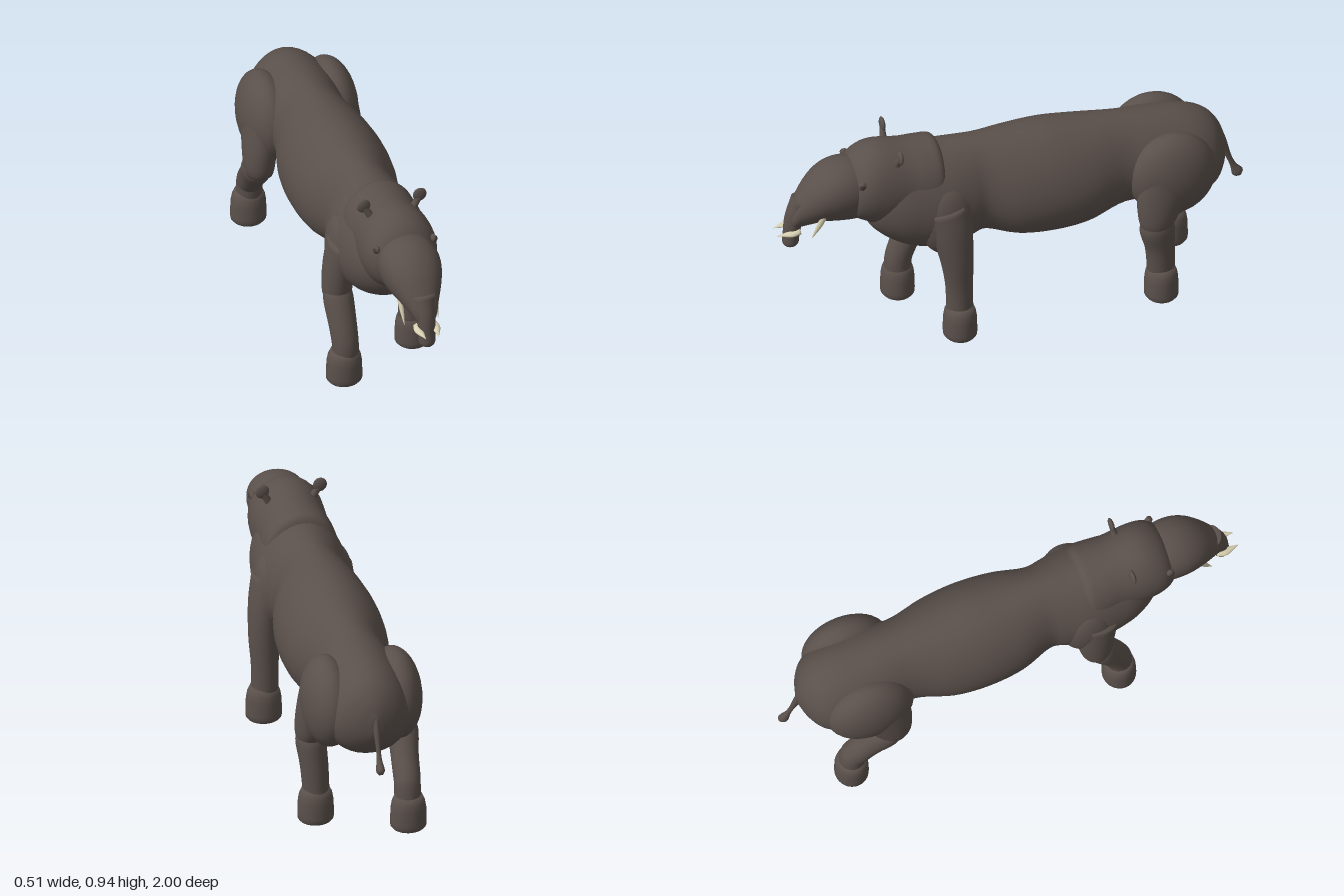
import * as THREE from 'three';

const material = (name, color) => Object.assign(new THREE.MeshStandardMaterial({ color }), { name });

// Skin a smooth run of oval rings. Row: [x, y, z, half width in x, half depth].
// dir fixes the ring direction; without it rings stand across the path. egg > 0 makes the lower half wider.
function loft(rows, { dir = null, egg = 0, steps = 5, sides = 32 } = {}) {
  const spline = new THREE.CubicInterpolant(rows.map((_, i) => i), rows.flat(), 5);
  const count = (rows.length - 1) * steps;
  const rings = [];
  for (let i = 0; i <= count; i++) rings.push(Array.from(spline.evaluate(i / steps)));
  const centre = (i) => new THREE.Vector3(...rings[Math.min(Math.max(i, 0), count)].slice(0, 3));
  const pos = [], index = [];
  const X = new THREE.Vector3(1, 0, 0);
  rings.forEach((r, i) => {
    const t = dir || centre(i + 1).sub(centre(i - 1)).normalize();
    const B = new THREE.Vector3().crossVectors(t, X).normalize();
    for (let j = 0; j < sides; j++) {
      const a = (j / sides) * Math.PI * 2, s = Math.sin(a);
      const p = centre(i).addScaledVector(B, s * Math.max(r[4], 0.001));
      p.x += Math.cos(a) * (1 - egg * s) * Math.max(r[3], 0.001);
      pos.push(p.x, p.y, p.z);
    }
  });
  for (let i = 0; i < count; i++) for (let j = 0; j < sides; j++) {
    const k = (j + 1) % sides, a = i * sides, b = a + sides;
    index.push(a + j, a + k, b + j, a + k, b + k, b + j);
  }
  // end caps
  const first = pos.length / 3, last = count * sides;
  pos.push(...centre(0).toArray(), ...centre(count).toArray());
  for (let j = 0; j < sides; j++) {
    const k = (j + 1) % sides;
    index.push(first, k, j, first + 1, last + j, last + k);
  }
  const g = new THREE.BufferGeometry();
  g.setAttribute('position', new THREE.Float32BufferAttribute(pos, 3));
  g.setIndex(index);
  g.computeVertexNormals();
  return g;
}

// Body sections, back to front. Row: [z, top, bottom, half width].
const bodyLoft = (rows, egg) => loft(
  rows.map(([z, top, low, w]) => [0, (top + low) / 2, z, w, (top - low) / 2]),
  { dir: new THREE.Vector3(0, 0, 1), egg, sides: 40 });

export function createModel() {
  const hide = material('hide', 0x5a504b);
  const ivory = material('ivory', 0xd6cfb0);
  const dark = material('eye', 0x423a37);
  const model = new THREE.Group();
  model.name = 'trunkedGrazer';

  const add = (name, geometry, mat = hide, parent = model) => {
    const m = new THREE.Mesh(geometry, mat);
    m.name = name;
    parent.add(m);
    return m;
  };
  const ball = (name, [x, y, z], [sx, sy, sz], mat = hide) => {
    const m = add(name, new THREE.SphereGeometry(1, 32, 20), mat);
    m.position.set(x, y, z);
    m.scale.set(sx, sy, sz);
    return m;
  };

  // trunk of the body: rump, barrel and chest
  add('torso', bodyLoft([
    [-0.915, 0.62, 0.54, 0.02], [-0.89, 0.69, 0.48, 0.09], [-0.84, 0.75, 0.42, 0.15],
    [-0.75, 0.79, 0.39, 0.18], [-0.6, 0.812, 0.41, 0.18], [-0.46, 0.825, 0.415, 0.165],
    [-0.3, 0.84, 0.37, 0.205], [-0.15, 0.855, 0.36, 0.217], [0, 0.855, 0.373, 0.203],
    [0.13, 0.855, 0.415, 0.165], [0.2, 0.855, 0.4, 0.175], [0.3, 0.857, 0.382, 0.195],
    [0.42, 0.865, 0.4, 0.188], [0.52, 0.85, 0.45, 0.168], [0.6, 0.8, 0.52, 0.12],
    [0.635, 0.72, 0.59, 0.04],
  ], 0.13));

  // head and nape
  add('head', bodyLoft([
    [0.295, 0.82, 0.62, 0.08], [0.32, 0.882, 0.55, 0.145], [0.38, 0.893, 0.52, 0.158],
    [0.46, 0.9, 0.52, 0.152], [0.57, 0.917, 0.535, 0.156], [0.64, 0.897, 0.57, 0.148],
    [0.685, 0.855, 0.6, 0.12], [0.7, 0.8, 0.65, 0.07],
  ], 0));
  add('muzzle', bodyLoft([
    [0.62, 0.835, 0.58, 0.1], [0.68, 0.86, 0.575, 0.12], [0.75, 0.858, 0.583, 0.122],
    [0.81, 0.833, 0.59, 0.108], [0.86, 0.79, 0.582, 0.085], [0.9, 0.735, 0.575, 0.062],
    [0.93, 0.68, 0.57, 0.045], [0.95, 0.63, 0.58, 0.02],
  ], -0.15));
  add('snout', loft([
    [0, 0.7, 0.885, 0.05, 0.05], [0, 0.62, 0.92, 0.04, 0.04], [0, 0.55, 0.932, 0.035, 0.035],
    [0, 0.505, 0.936, 0.034, 0.034], [0, 0.49, 0.936, 0.026, 0.026],
  ]));

  // tail with a thicker tip
  add('tail', loft([
    [0, 0.66, -0.87, 0.02, 0.03], [0, 0.58, -0.905, 0.015, 0.022], [0, 0.5, -0.935, 0.01, 0.012],
    [0, 0.45, -0.955, 0.011, 0.013], [0, 0.41, -0.974, 0.018, 0.024], [0, 0.393, -0.983, 0.008, 0.01],
  ], { sides: 16 }));

  // paired features
  const footProfile = [[0, 0], [0.066, 0], [0.074, 0.01], [0.075, 0.03], [0.073, 0.09], [0.068, 0.12],
    [0.056, 0.148], [0, 0.16]].map(([r, y]) => new THREE.Vector2(r, y));
  const foot = (name, x, z) => {
    const f = add(name, new THREE.LatheGeometry(footProfile, 32));
    f.position.set(x, 0, z);
    f.scale.z = 0.94;
  };
  for (const s of [1, -1]) {
    const side = s > 0 ? 'left' : 'right';
    ball(side + 'Haunch', [s * 0.143, 0.58, -0.65], [0.106, 0.192, 0.185]);
    ball(side + 'Shoulder', [s * 0.135, 0.57, 0.31], [0.075, 0.17, 0.12]);
    ball(side + 'Ear', [s * 0.121, 0.913, 0.505], [0.029, 0.031, 0.011]);
    add(side + 'EarStem', loft([
      [s * 0.085, 0.85, 0.51, 0.02, 0.016], [s * 0.102, 0.878, 0.508, 0.017, 0.013],
      [s * 0.118, 0.905, 0.505, 0.016, 0.01],
    ], { sides: 14 }));
    ball(side + 'Eyelid', [s * 0.122, 0.805, 0.667], [0.013, 0.017, 0.017]);
    ball(side + 'Eye', [s * 0.129, 0.805, 0.671], [0.009, 0.012, 0.012], dark);
    // downward upper tusk and flat forward lower tusk
    add(side + 'UpperTusk', loft([
      [s * 0.077, 0.655, 0.815, 0.009, 0.013], [s * 0.074, 0.61, 0.836, 0.009, 0.012],
      [s * 0.073, 0.553, 0.868, 0.001, 0.001],
    ], { sides: 14 }), ivory);
    add(side + 'LowerTusk', loft([
      [s * 0.03, 0.568, 0.905, 0.019, 0.012], [s * 0.036, 0.565, 0.945, 0.018, 0.011],
      [s * 0.028, 0.563, 1, 0.001, 0.001],
    ], { sides: 14 }), ivory);
  }

  // front legs: left straight, right reaching forward from the elbow
  add('leftFrontLeg', loft([
    [0.15, 0.64, 0.32, 0.06, 0.09], [0.165, 0.52, 0.298, 0.065, 0.085], [0.172, 0.38, 0.28, 0.063, 0.068],
    [0.17, 0.25, 0.27, 0.057, 0.057], [0.17, 0.12, 0.268, 0.055, 0.056],
  ]));
  foot('leftFrontFoot', 0.175, 0.268);
  add('rightUpperArm', loft([
    [-0.15, 0.64, 0.34, 0.06, 0.09], [-0.165, 0.5, 0.325, 0.064, 0.08], [-0.172, 0.39, 0.325, 0.062, 0.066],
    [-0.173, 0.345, 0.335, 0.05, 0.05],
  ]));
  add('rightForearm', loft([
    [-0.173, 0.41, 0.33, 0.05, 0.045], [-0.174, 0.36, 0.345, 0.062, 0.06], [-0.172, 0.26, 0.393, 0.058, 0.058],
    [-0.17, 0.18, 0.42, 0.055, 0.056], [-0.17, 0.11, 0.422, 0.055, 0.056],
  ]));
  foot('rightFrontFoot', -0.175, 0.422);

  // back legs: left upright, right stretched back to the hock
  for (const s of [1, -1]) {
    add(s > 0 ? 'leftThigh' : 'rightThigh', loft([
      [s * 0.16, 0.62, -0.63, 0.08, 0.13], [s * 0.18, 0.5, -0.59, 0.072, 0.105],
      [s * 0.19, 0.41, -0.57, 0.065, 0.08], [s * 0.19, 0.36, -0.568, 0.056, 0.062],
    ]));
  }
  add('leftShank', loft([
    [0.19, 0.4, -0.562, 0.056, 0.06], [0.19, 0.35, -0.57, 0.062, 0.073], [0.18, 0.25, -0.585, 0.058, 0.062],
    [0.172, 0.11, -0.592, 0.054, 0.056],
  ]));
  foot('leftBackFoot', 0.175, -0.592);
  add('rightShank', loft([
    [-0.19, 0.41, -0.56, 0.05, 0.05], [-0.19, 0.36, -0.6, 0.062, 0.068], [-0.18, 0.28, -0.668, 0.057, 0.06],
    [-0.175, 0.21, -0.725, 0.055, 0.057], [-0.173, 0.17, -0.745, 0.05, 0.045],
  ]));
  add('rightHock', loft([
    [-0.173, 0.24, -0.722, 0.045, 0.04], [-0.173, 0.2, -0.735, 0.054, 0.053], [-0.173, 0.11, -0.745, 0.054, 0.056],
  ]));
  foot('rightBackFoot', -0.175, -0.745);

  return model;
}
